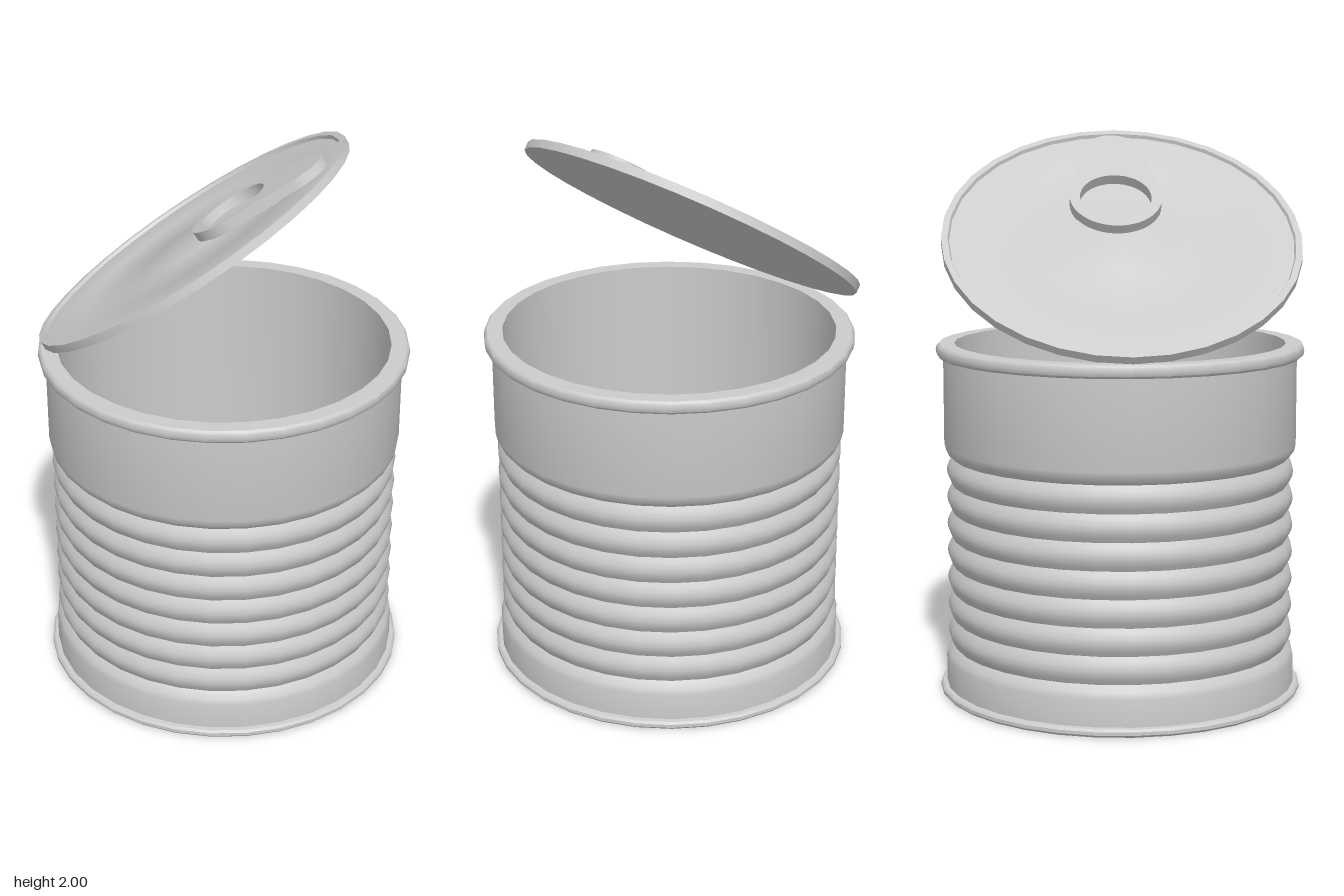
import * as THREE from 'three';
import { toCreasedNormals } from 'three/addons/utils/BufferGeometryUtils.js';

const SEGMENTS = 32;

function part(name, geometry) {
  const material = new THREE.MeshStandardMaterial({ color: 0xcccccc });
  const mesh = new THREE.Mesh(toCreasedNormals(geometry, 0.6), material);
  mesh.name = name;
  return mesh;
}

function lathe(profile) {
  return new THREE.LatheGeometry(profile.map(([r, y]) => new THREE.Vector2(r, y)), SEGMENTS);
}

// Closed wall: base flange, ribbed outside, rolled rim, plain inside and floor
function canProfile() {
  const points = [
    [0, 0], [0.645, 0], [0.652, 0.008], [0.652, 0.02], [0.645, 0.028], [0.63, 0.03],
    [0.63, 0.125], [0.624, 0.148],
  ];
  const ribs = 7, low = 0.17, high = 0.853, steps = 6;
  const pitch = (high - low) / ribs;
  for (let i = 0; i < ribs; i++) {
    for (let j = 0; j < steps; j++) {
      const t = j / steps;
      points.push([0.603 + 0.019 * Math.sin(Math.PI * t), low + pitch * (i + t)]);
    }
  }
  points.push(
    [0.603, high], [0.624, 0.875], [0.63, 0.9], [0.63, 1.214],
    [0.645, 1.214], [0.653, 1.222], [0.656, 1.237], [0.653, 1.252], [0.645, 1.26],
    [0.59, 1.26], [0.59, 0.03], [0, 0.03],
  );
  return points;
}

// Lid disc with a raised edge and shallow concentric steps
const lidProfile = [
  [0, 0], [0.63, 0], [0.63, 0.03], [0.607, 0.03], [0.602, 0.018],
  [0.43, 0.018], [0.42, 0.014], [0.195, 0.014], [0.185, 0.018], [0, 0.018],
];

// Tapered pull tab with a round finger hole
function tabGeometry() {
  const wide = { x: 0.195, r: 0.163 }, narrow = { x: 0.455, r: 0.11 };
  const a = Math.acos((wide.r - narrow.r) / (narrow.x - wide.x));
  const shape = new THREE.Shape();
  shape.absarc(wide.x, 0, wide.r, a, 2 * Math.PI - a, false);
  shape.absarc(narrow.x, 0, narrow.r, -a, a, false);
  shape.closePath();
  const hole = new THREE.Path();
  hole.absarc(wide.x, 0, 0.127, 0, 2 * Math.PI, true);
  shape.holes.push(hole);
  const geometry = new THREE.ExtrudeGeometry(shape, { depth: 0.038, bevelEnabled: false, curveSegments: 20 });
  return geometry.rotateX(-Math.PI / 2);
}

export function createModel() {
  const model = new THREE.Group();
  model.name = 'openCan';
  model.add(part('canBody', lathe(canProfile())));

  // Lid hinged open on the -x side
  const lid = new THREE.Group();
  lid.name = 'lid';
  lid.add(part('lidDisc', lathe(lidProfile)));
  const tab = part('pullTab', tabGeometry());
  tab.position.set(0, 0.015, -0.013);
  lid.add(tab);
  lid.position.set(-0.105, 1.617, 0);
  lid.rotation.z = THREE.MathUtils.degToRad(34.5);
  model.add(lid);

  return model;
}
